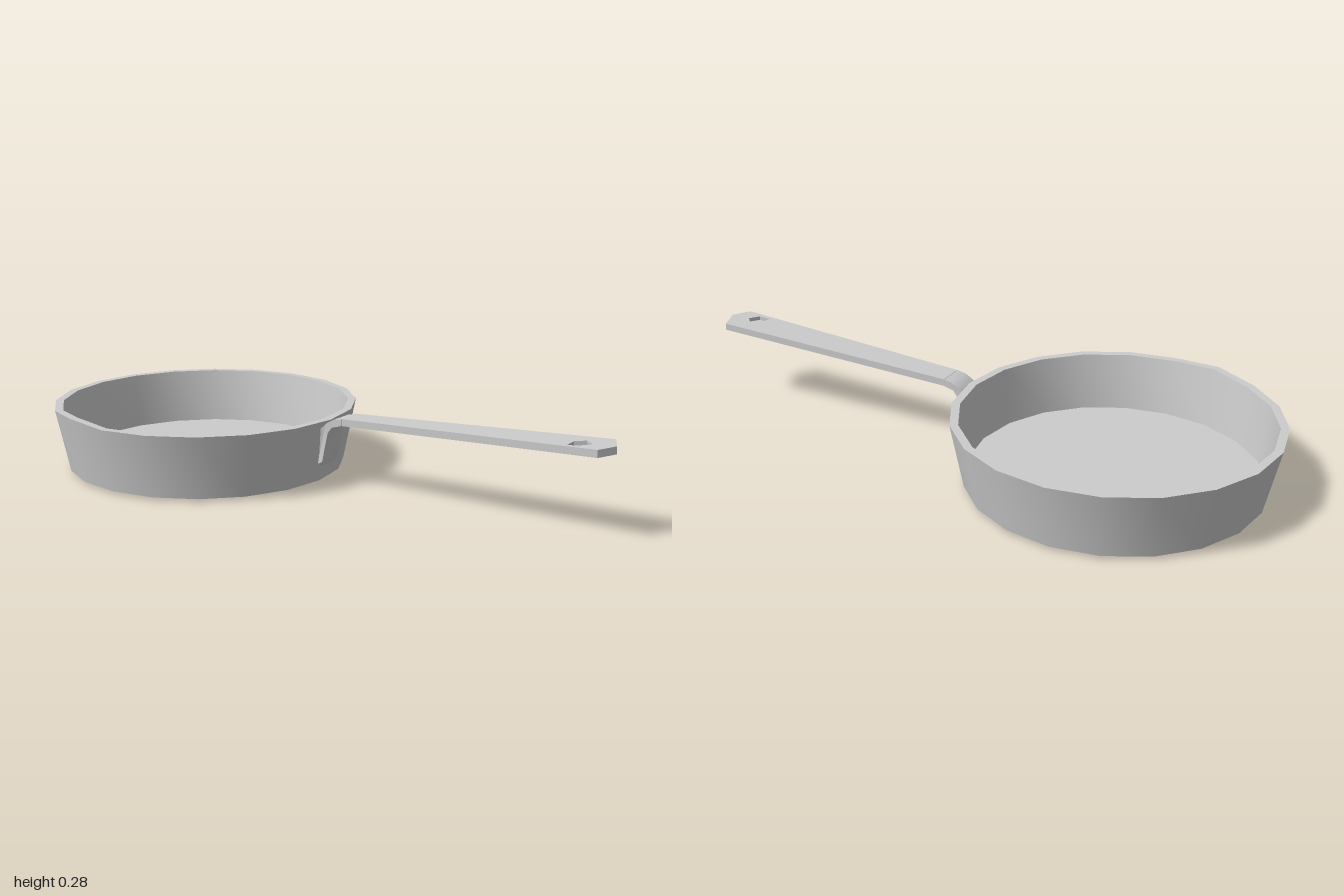
import * as THREE from 'three';
import { toCreasedNormals } from 'three/addons/utils/BufferGeometryUtils.js';

const material = new THREE.MeshStandardMaterial({ color: 0xcccccc });
const points = (list) => list.map(([x, y]) => new THREE.Vector2(x, y));

function addMesh(parent, name, geometry, crease = 0.6) {
  const mesh = new THREE.Mesh(toCreasedNormals(geometry, crease), material);
  mesh.name = name;
  parent.add(mesh);
  return mesh;
}

export function createModel() {
  const model = new THREE.Group();
  model.name = 'fryingPan';

  // Pan body: underside, flared wall, thin rim, inner wall and floor
  const body = new THREE.LatheGeometry(points([
    [0, 0], [0.474, 0.008], [0.517, 0.219], [0.49, 0.219], [0.463, 0.032], [0, 0.03],
  ]), 20);
  body.translate(-0.483, 0, 0);

  // Small uneven spot on the rim
  const pos = body.attributes.position;
  for (let i = 0; i < pos.count; i++) {
    const near = Math.hypot(pos.getX(i) + 0.63, pos.getZ(i) - 0.47) < 0.06;
    if (near && pos.getY(i) > 0.2) pos.setY(i, 0.228);
  }
  addMesh(model, 'panBody', body);

  // Bent neck rising from the wall, narrowed at its foot
  const neck = new THREE.ExtrudeGeometry(new THREE.Shape(points([
    [-0.005, 0.068], [0.016, 0.068], [0.028, 0.085], [0.05, 0.185], [0.065, 0.205], [0.1, 0.215],
    [0.1, 0.237], [0.07, 0.231], [0.045, 0.217], [0.022, 0.195],
  ])), { depth: 0.09, bevelEnabled: false });
  neck.translate(0, 0, -0.05);
  const np = neck.attributes.position;
  for (let i = 0; i < np.count; i++) {
    if (np.getY(i) < 0.075) np.setZ(i, -0.005 + (np.getZ(i) + 0.005) * 0.55);
  }
  addMesh(model, 'handleNeck', neck);

  // Widening grip with a pointed end and a five-sided recess
  const grip = new THREE.Group();
  grip.name = 'handleGrip';
  const recess = points([[0.77, -0.035], [0.81, -0.035], [0.832, 0], [0.8, 0.033], [0.77, 0.012]])
    .map((p) => p.setY(p.y - 0.01));
  const outline = new THREE.Shape(points([
    [0, -0.037], [0.868, -0.065], [0.9, -0.005], [0.868, 0.074], [0, 0.05],
  ]));
  outline.holes.push(new THREE.Path(recess));
  const slab = (shape, depth) => new THREE.ExtrudeGeometry(shape, { depth, bevelEnabled: false })
    .rotateX(-Math.PI / 2);
  addMesh(grip, 'gripBar', slab(outline, 0.023), 0.3);
  addMesh(grip, 'recessFloor', slab(new THREE.Shape(recess), 0.01), 0.3);
  grip.position.set(0.1, 0.215, 0);
  grip.rotation.z = Math.atan2(0.042, 0.9);
  model.add(grip);

  return model;
}
